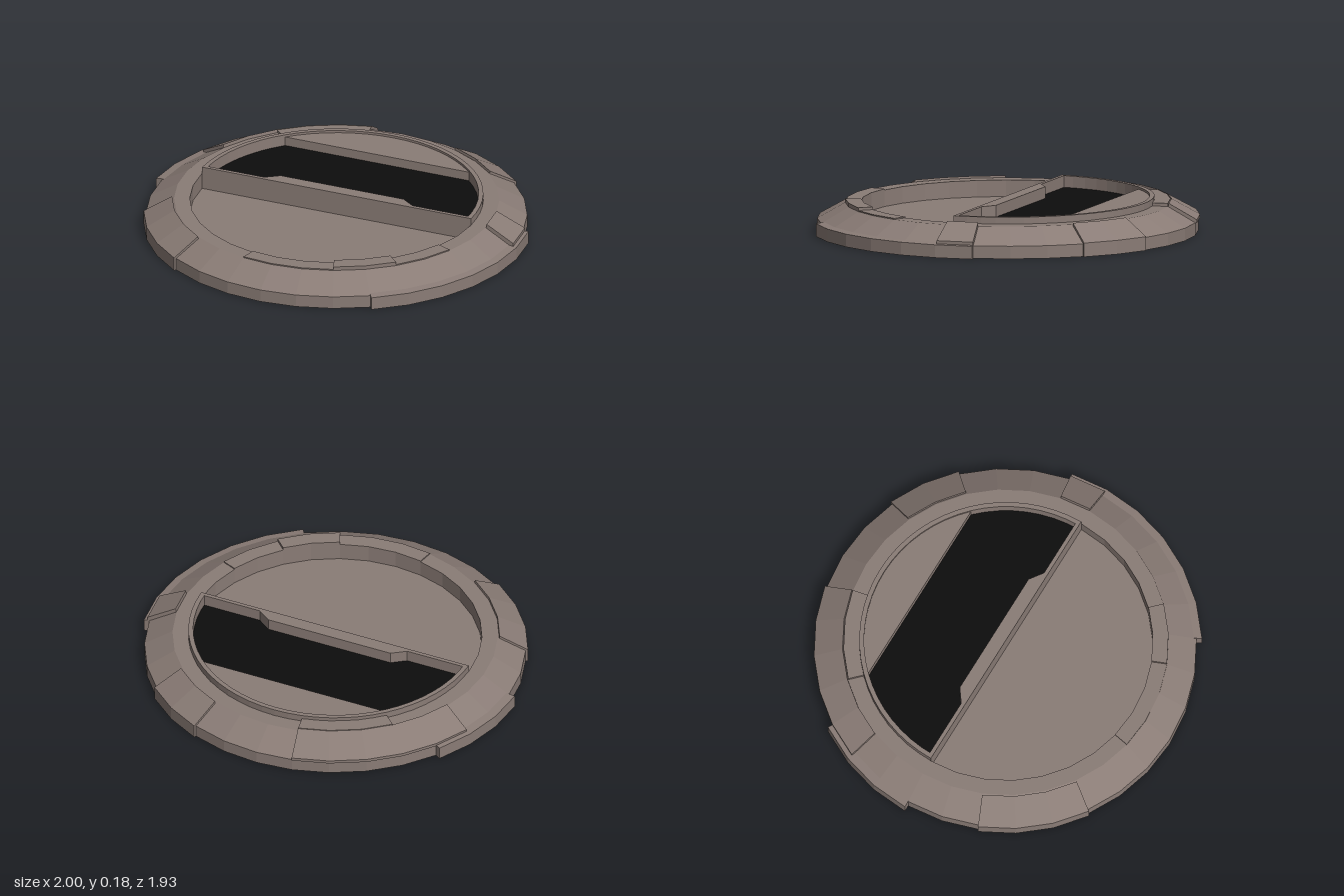
import * as THREE from 'three';
import { mergeGeometries } from 'three/addons/utils/BufferGeometryUtils.js';

const STEP = 11.25; // one facet of the 32-sided hull, in degrees
const RAD = Math.PI / 180;

// Flat-shaded ring sector swept from a0 to a1 degrees (0 = +z, 90 = +x),
// with a closed counter-clockwise profile of [radius, height] and end caps.
function sector(profile, a0, a1, step = STEP) {
  const pts = profile.map(([r, y]) => new THREE.Vector2(r, y));
  const segments = Math.round((a1 - a0) / step);
  const sweep = new THREE.LatheGeometry([...pts, pts[0].clone()], segments, a0 * RAD, (a1 - a0) * RAD).toNonIndexed();
  sweep.computeVertexNormals();
  if (a1 - a0 >= 360) return sweep;

  const cap = (angle, flip) => {
    const g = new THREE.ShapeGeometry(new THREE.Shape(pts));
    if (flip) g.index.array.reverse();
    g.rotateY(angle * RAD - Math.PI / 2);
    const flat = g.toNonIndexed();
    flat.computeVertexNormals();
    return flat;
  };
  return mergeGeometries([sweep, cap(a0, false), cap(a1, true)]);
}

// Upright slab from an outline of [x, distance toward the back]
function slab(shape, y0, y1) {
  const g = new THREE.ExtrudeGeometry(shape, { depth: y1 - y0, bevelEnabled: false, curveSegments: 32 });
  g.rotateX(-Math.PI / 2);
  g.translate(0, y0, 0);
  return g;
}

export function createModel() {
  const model = new THREE.Group();
  model.name = 'hatchDisc';
  const hull = new THREE.MeshStandardMaterial({ color: 0x8a7c76 });
  hull.name = 'warm grey hull';
  const black = new THREE.MeshStandardMaterial({ color: 0x0d0d0d });
  black.name = 'black opening';

  const add = (name, geometry, material = hull) => {
    const mesh = new THREE.Mesh(geometry, material);
    mesh.name = name;
    model.add(mesh);
  };

  // Dish with sloped rim and sunken floor
  add('dish', sector([
    [0, 0], [0.967, 0], [0.967, 0.065], [0.825, 0.145],
    [0.745, 0.145], [0.745, 0.06], [0, 0.06],
  ], 0, 360));

  // Armour profiles: on the slope, on slope and edge, around the edge, on the flat top
  const slope = (t) => [[0.94, 0.06], [0.967 + t * 0.5, 0.065], [0.967 + t * 0.5, 0.065 + t], [0.83, 0.145 + t], [0.825, 0.13]];
  const apron = (t) => [[0.93, 0], [0.967 + t, 0], [0.967 + t, 0.065 + t * 0.5], [0.835, 0.142 + t], [0.83, 0.12]];
  const edge = (r) => [[0.93, 0], [r, 0], [r, 0.066], [0.95, 0.073], [0.93, 0.06]];
  const top = (t) => [[0.745, 0.13], [0.825, 0.13], [0.825, 0.145 + t], [0.745, 0.145 + t]];

  const panels = [
    ['frontSlopeArmour', apron(0.012), -67.5, -33.75],
    ['backSlopeArmour', apron(0.012), 135, 157.5],
    ['sideSlopeBlock', slope(0.02), 90, 101.25],
    ['backSlopePanel', slope(0.016), -168.75, -112.5],
    ['backTopPanel', top(0.016), -168.75, -135],
    ['rightEdgeBand', edge(0.995), 33.75, 101.25],
    ['leftEdgeBand', edge(1), -123.75, -90],
    ['frontTopPanel', top(0.006), -11.25, 67.5],
    ['frontTopBlock', top(0.02), 22.5, 45],
  ];
  for (const [name, profile, a0, a1] of panels) add(name, sector(profile, a0, a1));

  // Raised half-moon frame around the opening
  add('openingFrame', sector([[0.72, 0.06], [0.744, 0.06], [0.744, 0.18], [0.72, 0.18]], 90, 270, 5.625));

  // Crossbar with a thickened middle
  const bar = new THREE.Shape([
    [-0.742, 0], [0.742, 0], [0.742, 0.02], [0.41, 0.02],
    [0.34, 0.07], [-0.34, 0.07], [-0.41, 0.02], [-0.742, 0.02],
  ].map(([x, y]) => new THREE.Vector2(x, y)));
  add('crossbar', slab(bar, 0.06, 0.18));

  // Segment plate behind the opening
  const start = Math.asin(0.51 / 0.722);
  const segment = new THREE.Shape();
  segment.absarc(0, 0, 0.722, start, Math.PI - start, false);
  add('backPlate', slab(segment, 0.06, 0.168));

  // Dark half-disc opening
  const half = new THREE.Shape();
  half.absarc(0, 0, 0.722, 0.01, Math.PI - 0.01, false);
  add('opening', slab(half, 0.115, 0.12), black);

  return model;
}
